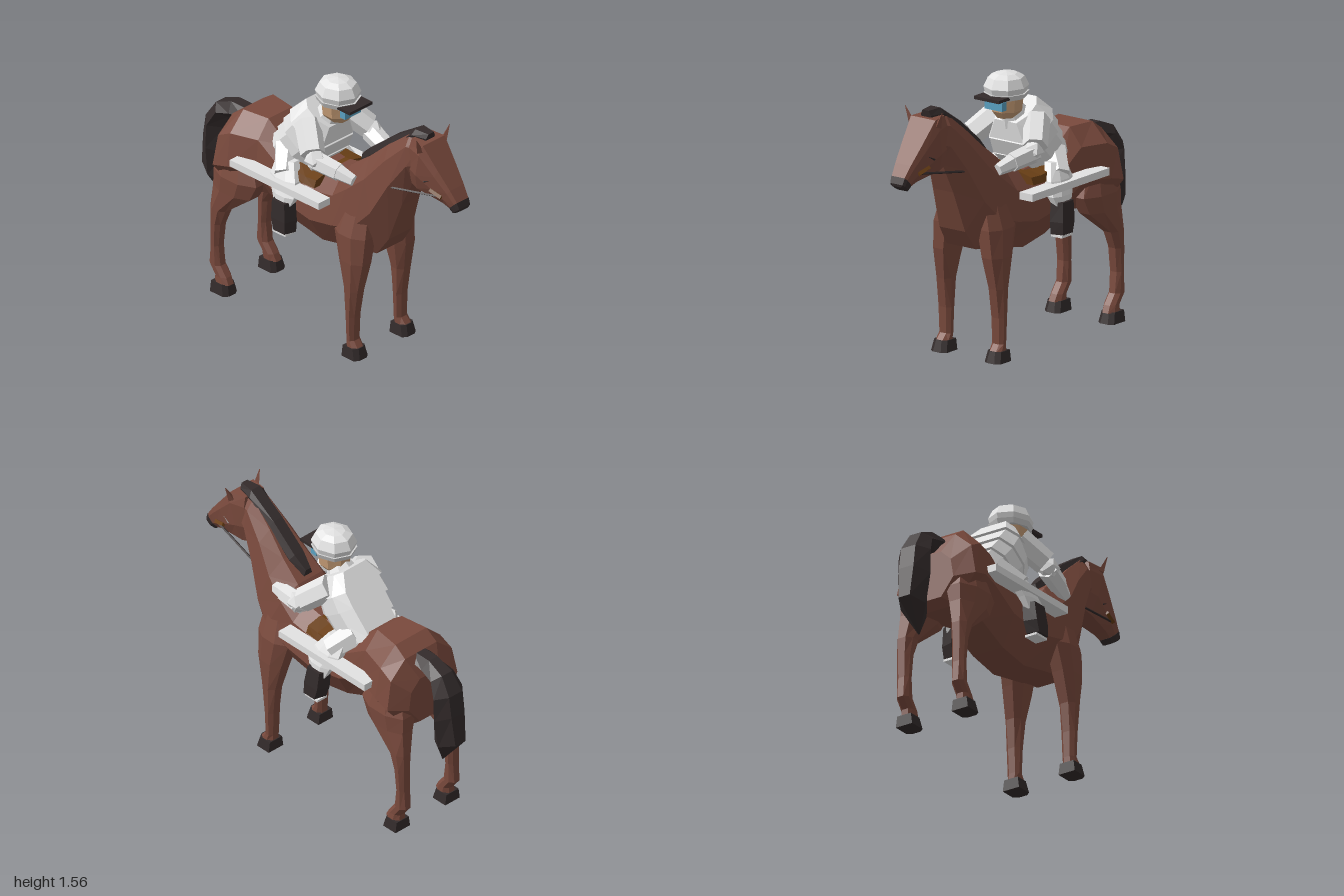
import * as THREE from 'three';

const mat = (name, color) => {
  const m = new THREE.MeshStandardMaterial({ color, flatShading: true });
  m.name = name;
  return m;
};

// Flat-shaded closed skin through rings of [x, y, z] points; faces always end up outward
function loft(rings) {
  const n = rings[0].length, tris = [];
  const centre = r => [0, 1, 2].map(k => r.reduce((a, p) => a + p[k], 0) / n);
  for (let i = 0; i < rings.length - 1; i++)
    for (let j = 0; j < n; j++) {
      const k = (j + 1) % n, a = rings[i][j], b = rings[i][k], c = rings[i + 1][k], d = rings[i + 1][j];
      tris.push([a, b, c], [a, c, d]);
    }
  const first = rings[0], last = rings[rings.length - 1];
  for (let j = 0; j < n; j++) {
    const k = (j + 1) % n;
    tris.push([first[k], first[j], centre(first)], [last[j], last[k], centre(last)]);
  }
  const o = centre(first);
  const volume = tris.reduce((v, t) => {
    const [a, b, c] = t.map(p => new THREE.Vector3(p[0] - o[0], p[1] - o[1], p[2] - o[2]));
    return v + a.dot(b.cross(c));
  }, 0);
  if (volume < 0) tris.forEach(t => t.reverse());
  const g = new THREE.BufferGeometry();
  g.setAttribute('position', new THREE.Float32BufferAttribute(tris.flat(2), 3));
  g.computeVertexNormals();
  return g;
}

// Mirrored body section between a top and a bottom point: [zTop, yTop, zBottom, yBottom, halfWidth]
const OCT = [[0.45, 0], [0.87, 0.22], [1, 0.62], [0.5, 1]];
const HEAD = [[0.82, 0], [1, 0.2], [0.95, 0.65], [0.6, 1]];
const DIAMOND = [[0.45, 0], [1, 0.5], [0.3, 1]];
const STRIP = [[0.6, 0], [1, 0.5], [0.9, 1]];
function spine(sections, profile = OCT) {
  return loft(sections.map(([zt, yt, zb, yb, w]) => {
    const side = s => profile.map(([x, t]) => [s * w * x, yt + (yb - yt) * t, zt + (zb - zt) * t]);
    return [...side(1), ...side(-1).reverse()];
  }));
}

// Upright limb from level sections: [y, zBack, zFront, xInner, xOuter]
function limb(sections, s) {
  const plan = [[0.25, 0], [0.75, 0], [1, 0.3], [1, 0.7], [0.75, 1], [0.25, 1], [0, 0.7], [0, 0.3]];
  return loft(sections.map(([y, z0, z1, x0, x1]) =>
    plan.map(([u, v]) => [s * (x0 + (x1 - x0) * u), y, z0 + (z1 - z0) * v])));
}

// Tapered rod between two points
function rod(a, b, ra, rb, sides = 6) {
  const A = new THREE.Vector3(...a), B = new THREE.Vector3(...b), d = B.clone().sub(A);
  const g = new THREE.CylinderGeometry(rb, ra, d.length(), sides);
  g.applyQuaternion(new THREE.Quaternion().setFromUnitVectors(new THREE.Vector3(0, 1, 0), d.normalize()));
  const c = A.add(B).multiplyScalar(0.5);
  return g.translate(c.x, c.y, c.z);
}

const box = (w, h, d, x, y, z) => new THREE.BoxGeometry(w, h, d).translate(x, y, z);

export function createModel() {
  const coat = mat('chestnut coat', 0x7a4a3d), dark = mat('dark hair and boots', 0x332b2b);
  const white = mat('white cloth', 0xe2e2e2), grey = mat('light grey', 0xd0d0d0);
  const leather = mat('saddle leather', 0x6b4016), skin = mat('skin', 0xc99f78);
  const blue = mat('blue goggles', 0x5aa3c4);
  const model = new THREE.Group();
  const horse = new THREE.Group(), rider = new THREE.Group();
  horse.name = 'horse';
  rider.name = 'rider';
  model.add(horse, rider);
  const add = (parent, name, geometry, material) => {
    const m = new THREE.Mesh(geometry, material);
    m.name = name;
    parent.add(m);
  };

  // Horse trunk and neck, head and muzzle
  add(horse, 'trunkAndNeck', spine([
    [-0.75, 0.98, -0.76, 0.70, 0.16], [-0.68, 1.10, -0.70, 0.66, 0.265], [-0.60, 1.155, -0.58, 0.67, 0.26],
    [-0.43, 1.155, -0.41, 0.69, 0.205], [-0.28, 1.04, -0.20, 0.60, 0.2], [0, 1.0, 0, 0.565, 0.205],
    [0.14, 1.03, 0.2, 0.605, 0.21], [0.21, 1.12, 0.42, 0.645, 0.205], [0.34, 1.22, 0.5, 0.76, 0.18],
    [0.47, 1.34, 0.58, 1.0, 0.138], [0.62, 1.46, 0.65, 1.17, 0.1], [0.71, 1.46, 0.68, 1.2, 0.08],
  ]), coat);
  add(horse, 'head', spine([
    [0.66, 1.46, 0.62, 1.17, 0.085], [0.76, 1.455, 0.69, 1.15, 0.104], [0.86, 1.33, 0.79, 1.135, 0.085],
    [0.94, 1.23, 0.87, 1.12, 0.066], [0.985, 1.165, 0.92, 1.1, 0.054],
  ], HEAD), coat);
  add(horse, 'muzzle', spine([
    [0.985, 1.167, 0.915, 1.1, 0.057], [1.0, 1.13, 0.94, 1.08, 0.052], [0.997, 1.115, 0.955, 1.085, 0.035],
  ], HEAD), dark);

  // Mane and tail
  add(horse, 'mane', spine([
    [0.225, 1.17, 0.23, 1.1, 0.03], [0.3, 1.24, 0.34, 1.18, 0.055], [0.47, 1.38, 0.5, 1.31, 0.055],
    [0.65, 1.497, 0.63, 1.43, 0.055], [0.74, 1.495, 0.73, 1.44, 0.035],
  ], STRIP), dark);
  add(horse, 'tail', spine([
    [-0.65, 1.1, -0.66, 1.03, 0.07], [-0.78, 1.1, -0.74, 0.99, 0.072], [-0.89, 1.055, -0.81, 0.985, 0.085],
    [-0.96, 0.95, -0.835, 0.91, 0.108], [-0.98, 0.82, -0.825, 0.75, 0.11], [-1.0, 0.635, -0.82, 0.57, 0.085],
    [-0.86, 0.455, -0.855, 0.455, 0.004],
  ], DIAMOND), dark);

  for (const s of [1, -1]) {
    const side = s > 0 ? 'left' : 'right';

    // Legs and hooves
    add(horse, side + 'FrontLeg', limb([
      [0.95, 0.22, 0.40, 0.05, 0.175], [0.76, 0.18, 0.42, 0.07, 0.235], [0.6, 0.225, 0.41, 0.1, 0.24],
      [0.42, 0.27, 0.375, 0.13, 0.235], [0.25, 0.285, 0.35, 0.14, 0.23], [0.1, 0.29, 0.345, 0.145, 0.225],
      [0.06, 0.29, 0.38, 0.145, 0.23],
    ], s), coat);
    add(horse, side + 'HindLeg', limb([
      [0.94, -0.68, -0.5, 0.05, 0.2], [0.76, -0.75, -0.42, 0.06, 0.245], [0.66, -0.75, -0.47, 0.09, 0.24],
      [0.52, -0.765, -0.65, 0.13, 0.235], [0.42, -0.765, -0.69, 0.14, 0.23], [0.28, -0.765, -0.705, 0.145, 0.225],
      [0.16, -0.775, -0.69, 0.145, 0.225], [0.1, -0.73, -0.645, 0.145, 0.225], [0.06, -0.73, -0.625, 0.145, 0.23],
    ], s), coat);
    for (const [name, z0, z1] of [['FrontHoof', 0.285, 0.4], ['HindHoof', -0.735, -0.615]])
      add(horse, side + name, loft([[0, 0], [0.065, 0.018]].map(([y, i]) => [
        [s * (0.133 + i / 2), y, z0], [s * (0.243 - i / 2), y, z0],
        [s * (0.243 - i / 2), y, z1 - i - 0.02], [s * (0.215 - i / 2), y, z1 - i],
        [s * (0.16 + i / 2), y, z1 - i], [s * (0.133 + i / 2), y, z1 - i - 0.02],
      ])), dark);

    // Ears, eyes and bridle
    add(horse, side + 'Ear', rod([s * 0.095, 1.42, 0.745], [s * 0.13, 1.505, 0.755], 0.021, 0.002, 4), coat);
    add(horse, side + 'Eye', rod([s * 0.086, 1.235, 0.77], [s * 0.082, 1.26, 0.82], 0.009, 0.003, 4), dark);
    add(horse, side + 'CheekStrap', rod([s * 0.072, 1.175, 0.89], [s * 0.086, 1.2, 0.815], 0.015, 0.013, 4), leather);
    add(horse, side + 'Rein', rod([s * 0.07, 1.175, 0.88], [s * 0.124, 1.12, 0.53], 0.007, 0.007, 4), dark);

    // Long side board and stirrup
    add(horse, side + 'SideBoard', box(0.09, 0.042, 0.69, s * 0.245, 0.91, -0.19), white);
    add(horse, side + 'Stirrup', box(0.075, 0.014, 0.1, s * 0.275, 0.638, -0.13), white);

    // Rider leg and boot
    add(rider, side + 'Thigh', rod([s * 0.1, 1.05, -0.27], [s * 0.215, 0.95, -0.18], 0.08, 0.066), white);
    add(rider, side + 'Shin', limb([
      [1.03, -0.27, -0.14, 0.12, 0.21], [0.94, -0.27, -0.08, 0.17, 0.26],
      [0.86, -0.23, -0.06, 0.205, 0.29], [0.79, -0.2, -0.09, 0.235, 0.295],
    ], s), white);
    add(rider, side + 'Boot', loft([
      [0.83, -0.21, -0.075, 0.238, 0.308], [0.72, -0.205, -0.06, 0.243, 0.32], [0.65, -0.185, -0.06, 0.25, 0.322],
    ].map(([y, z0, z1, a, b]) => [[s * a, y, z0], [s * b, y, z0 + 0.02], [s * b, y, z1 - 0.02], [s * a, y, z1]])), dark);

    // Rider arm: sleeve, elbow, forearm and hand
    add(rider, side + 'UpperArm', rod([s * 0.13, 1.285, -0.09], [s * 0.22, 1.17, 0.04], 0.075, 0.07), white);
    add(rider, side + 'Elbow', new THREE.IcosahedronGeometry(0.066, 0).translate(s * 0.222, 1.145, 0.065), white);
    add(rider, side + 'Forearm', rod([s * 0.222, 1.14, 0.05], [s * 0.187, 1.11, 0.21], 0.06, 0.054), white);
    add(rider, side + 'Hand', rod([s * 0.188, 1.112, 0.2], [s * 0.165, 1.085, 0.305], 0.05, 0.034), white);
  }

  // Saddle
  add(horse, 'saddle', spine([
    [0.03, 1.005, 0.03, 0.94, 0.2], [-0.05, 1.0, -0.05, 0.94, 0.205], [-0.2, 1.02, -0.2, 0.94, 0.2],
  ], [[0.45, 0], [0.92, 0.35], [1, 1]]), leather);

  // Leaning jacket made of overlapping bands, each flared at its lower edge
  const widths = [0.14, 0.155, 0.172, 0.178, 0.12], depths = [0.25, 0.285, 0.3, 0.275, 0.21];
  for (let i = 0; i < 4; i++) {
    const ring = (t, w, thick, out) => {
      const zb = -0.375 + 0.225 * t - 0.82 * out, yb = 1.075 + 0.32 * t + 0.57 * out;
      return [zb, yb, zb + 0.82 * thick, yb - 0.57 * thick, w];
    };
    add(rider, 'jacketBand' + (i + 1), spine([
      ring(i / 4 - 0.02, widths[i] + 0.01, depths[i] + 0.012, 0.012),
      ring((i + 1) / 4, widths[i + 1] - 0.004, depths[i + 1], -0.004),
    ], [[0.72, 0], [1, 0.25], [1, 0.65], [0.65, 1]]), white);
  }
  add(rider, 'collar', rod([0, 1.28, -0.06], [0, 1.36, -0.01], 0.1, 0.06, 8), white);

  // Head, goggles and riding cap
  add(rider, 'face', loft([
    [1.3, 0.05, 0.06], [1.34, 0.082, 0.088], [1.43, 0.092, 0.095],
  ].map(([y, rx, rz]) => Array.from({ length: 8 }, (_, i) => {
    const a = (i + 0.5) * Math.PI / 4;
    return [rx * 1.06 * Math.sin(a), y, 0.015 + rz * 1.06 * Math.cos(a)];
  }))), skin);
  add(rider, 'goggles', box(0.125, 0.05, 0.04, 0, 1.385, 0.115), blue);
  const turned = points => new THREE.LatheGeometry(points.map(p => new THREE.Vector2(...p)), 8)
    .scale(0.92, 1, 1).translate(0, 0, 0.018);
  add(rider, 'capBand', turned([[0, 1.415], [0.122, 1.415], [0.134, 1.445], [0, 1.445]]), grey);
  add(rider, 'cap', turned([[0.122, 1.44], [0.134, 1.478], [0.108, 1.53], [0.065, 1.55], [0, 1.56]]), white);
  add(rider, 'capPeak', box(0.175, 0.018, 0.1, 0, 1.432, 0.147), dark);

  return model;
}
